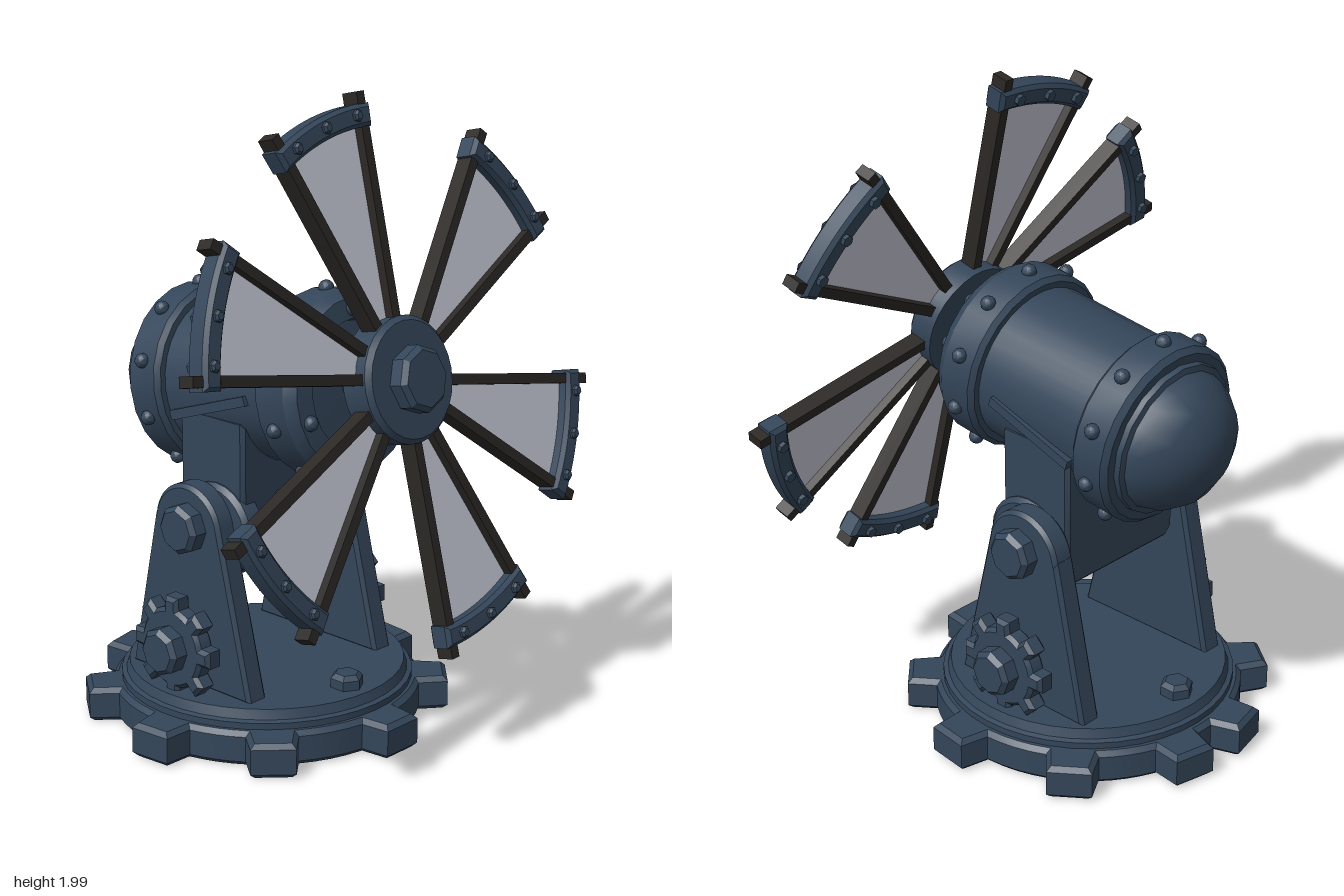
import * as THREE from 'three';
import { toCreasedNormals } from 'three/addons/utils/BufferGeometryUtils.js';

const steel = new THREE.MeshStandardMaterial({ color: 0x34465a });
steel.name = 'blue steel';
const darkWood = new THREE.MeshStandardMaterial({ color: 0x2b2825 });
darkWood.name = 'dark strut';
const cloth = new THREE.MeshStandardMaterial({ color: 0xc8cad9, side: THREE.DoubleSide });
cloth.name = 'pale panel';

const rad = THREE.MathUtils.degToRad;

function add(parent, name, geometry, material, x = 0, y = 0, z = 0) {
  const mesh = new THREE.Mesh(toCreasedNormals(geometry, 0.55), material);
  mesh.name = name;
  mesh.position.set(x, y, z);
  parent.add(mesh);
  return mesh;
}

// Extrusion centred on its depth, with a small bevel inside the given depth
function slab(shape, depth, bevel = 0.012) {
  const g = new THREE.ExtrudeGeometry(shape, {
    depth: depth - 2 * bevel, bevelEnabled: bevel > 0, bevelThickness: bevel,
    bevelSize: bevel, bevelOffset: -bevel, bevelSegments: 1, curveSegments: 10,
  });
  return g.translate(0, 0, -(depth - 2 * bevel) / 2);
}

// Gear outline from tooth angles in degrees, in ascending order
function gearShape(angles, inner, outer, half) {
  const pts = [];
  const put = (r, a) => pts.push(new THREE.Vector2(r * Math.cos(rad(a)), r * Math.sin(rad(a))));
  angles.forEach((a, i) => {
    const next = i + 1 < angles.length ? angles[i + 1] : angles[0] + 360;
    put(inner, a - half);
    put(outer, a - half * 0.72);
    put(outer, a + half * 0.72);
    put(inner, a + half);
    const gap = next - a - 2 * half;
    for (let k = 1; k < 4; k++) put(inner, a + half + (gap * k) / 4);
  });
  return new THREE.Shape(pts);
}

// Chamfered nut along +z, centred
function nut(radius, depth, sides = 8) {
  const c = Math.min(0.015, depth / 3), h = depth / 2;
  const profile = [[0, -h], [radius, -h], [radius, h - c], [radius - c, h], [0, h]];
  return new THREE.LatheGeometry(profile.map(p => new THREE.Vector2(...p)), sides)
    .rotateX(Math.PI / 2);
}

function buildBase(model) {
  const base = new THREE.Group();
  base.name = 'base';
  base.position.z = -0.1;
  model.add(base);
  const teeth = [-46, -6, 37, 77, 103, 143, 186, 226, 270];
  add(base, 'baseGear', slab(gearShape(teeth, 0.485, 0.575, 9.5), 0.11, 0.015).rotateX(-Math.PI / 2),
    steel, 0, 0.055, 0);
  const plate = [[0, 0.1], [0.46, 0.1], [0.46, 0.13], [0.445, 0.135], [0.435, 0.165], [0, 0.17]];
  add(base, 'basePlate', new THREE.LatheGeometry(plate.map(p => new THREE.Vector2(...p)), 40), steel);
  for (const z of [0.355, -0.355])
    add(base, 'baseBolt', nut(0.052, 0.06, 6).rotateX(-Math.PI / 2), steel, -0.015, 0.18, z);
}

function buildSupports(model) {
  // Tapered upright with a rounded top, drawn with x as depth toward the back
  const upright = new THREE.Shape();
  upright.moveTo(-0.14, 0.16);
  upright.lineTo(0.375, 0.16);
  upright.lineTo(0.265, 0.68);
  upright.absarc(0.125, 0.66, 0.14, 0.14, Math.PI - 0.14, false);
  upright.lineTo(-0.14, 0.16);
  const teeth = [...Array(8).keys()].map(i => i * 45);

  for (const side of [1, -1]) {
    const group = new THREE.Group();
    group.name = side > 0 ? 'leftSupport' : 'rightSupport';
    model.add(group);
    const turn = (side * Math.PI) / 2;
    add(group, 'upright', slab(upright, 0.08).rotateY(Math.PI / 2), steel, side * 0.285, 0, 0);
    add(group, 'pivotDisc', nut(0.15, 0.07, 24).rotateY(turn), steel, side * 0.225, 0.65, -0.075);
    add(group, 'pivotBolt', nut(0.078, 0.07).rotateY(turn), steel, side * 0.345, 0.67, -0.115);
    add(group, 'sideGear', slab(gearShape(teeth, 0.128, 0.165, 13), 0.065).rotateY(turn),
      steel, side * 0.375, 0.3, -0.115);
    add(group, 'gearAxle', nut(0.075, 0.16).rotateY(turn), steel, side * 0.385, 0.3, -0.115);
  }
}

function buildMotor(model) {
  // Neck block joining the motor to the pivot
  const neck = new THREE.Shape([[-0.24, 0.58], [-0.21, 0.55], [0.21, 0.55], [0.24, 0.58], [0.24, 1.0], [-0.24, 1.0]]
    .map(p => new THREE.Vector2(...p)));
  add(model, 'motorNeck', slab(neck, 0.27), steel, 0, 0, -0.1);
  add(model, 'neckLatch', new THREE.BoxGeometry(0.065, 0.11, 0.03), steel, -0.065, 0.71, 0.04);

  const motor = new THREE.Group();
  motor.name = 'motor';
  motor.position.set(0, 1.08, -0.08);
  motor.rotation.x = -0.13;
  model.add(motor);
  const lathe = (profile, segments) =>
    new THREE.LatheGeometry(profile.map(p => new THREE.Vector2(...p)), segments).rotateX(Math.PI / 2);

  add(motor, 'motorCasing', lathe([[0.2, -0.3], [0.25, -0.25], [0.25, 0.25]], 32), steel);
  add(motor, 'rearDome', lathe([[0, -0.525], [0.09, -0.51], [0.165, -0.465], [0.212, -0.4],
    [0.222, -0.365], [0.24, -0.36], [0.245, -0.32]], 18), steel);
  add(motor, 'rearBand', lathe([[0.2, -0.342], [0.268, -0.342], [0.285, -0.325], [0.285, -0.22],
    [0.27, -0.205], [0.245, -0.205]], 24), steel);
  add(motor, 'frontBand', lathe([[0.245, 0.2], [0.27, 0.2], [0.285, 0.215], [0.285, 0.325],
    [0.262, 0.36], [0.2, 0.365], [0.19, 0.335], [0, 0.345]], 24), steel);

  // Rivets round both bands and on the front face
  const rivet = new THREE.IcosahedronGeometry(0.024, 1);
  for (let i = 0; i < 10; i++) {
    const a = ((i + 0.5) / 10) * Math.PI * 2;
    for (const z of [-0.272, 0.268])
      add(motor, 'bandRivet', rivet, steel, 0.287 * Math.cos(a), 0.287 * Math.sin(a), z);
    add(motor, 'faceRivet', rivet, steel, 0.23 * Math.cos(a), 0.23 * Math.sin(a), 0.365);
  }
  for (const side of [1, -1]) {
    const rail = add(motor, 'sideRail', new THREE.BoxGeometry(0.03, 0.03, 0.33), steel, side * 0.248, -0.045, -0.02);
    rail.rotation.x = -0.2;
  }
}

function buildFan(model) {
  const fan = new THREE.Group();
  fan.name = 'fan';
  fan.position.set(0, 1.172, 0.44);
  fan.rotation.x = -0.232;
  model.add(fan);

  add(fan, 'hub', nut(0.188, 0.1, 28), steel);
  add(fan, 'hubNut', nut(0.1, 0.06), steel, 0, 0, 0.075);
  add(fan, 'shaft', nut(0.05, 0.24, 16), steel, 0, 0, -0.1);
  add(fan, 'shaftCollar', nut(0.075, 0.05), steel, 0, 0, -0.11);

  // Curved bar closing the outer end of each blade
  const half = rad(15), up = Math.PI / 2;
  const arc = new THREE.Shape();
  arc.absarc(0, 0, 0.802, up - half, up + half, false);
  arc.absarc(0, 0, 0.735, up + half, up - half, true);
  const rimGeometry = slab(arc, 0.075);
  const spread = rad(13);
  const panelGeometry = new THREE.RingGeometry(0.16, 0.75, 6, 1, up - spread, 2 * spread);
  const strutGeometry = new THREE.BoxGeometry(0.032, 0.69, 0.055);
  const boltGeometry = nut(0.018, 0.02, 6);

  [39, 103, 156, 215.5, 284, 336].forEach(angle => {
    const blade = new THREE.Group();
    blade.name = 'blade';
    blade.rotation.z = rad(angle - 90);
    fan.add(blade);
    add(blade, 'panel', panelGeometry, cloth);
    add(blade, 'rimBar', rimGeometry, steel);
    for (const side of [-1, 1]) {
      const a = side * spread;
      const strut = add(blade, 'strut', strutGeometry, darkWood, -0.492 * Math.sin(a), 0.492 * Math.cos(a), 0);
      strut.rotation.z = a;
    }
    for (const deg of [-10, 0, 10])
      for (const z of [-0.042, 0.042])
        add(blade, 'rimBolt', boltGeometry, steel, 0.77 * Math.sin(rad(deg)), 0.77 * Math.cos(rad(deg)), z);
  });
}

export function createModel() {
  const model = new THREE.Group();
  model.name = 'fanMachine';
  buildBase(model);
  buildSupports(model);
  buildMotor(model);
  buildFan(model);
  return model;
}
